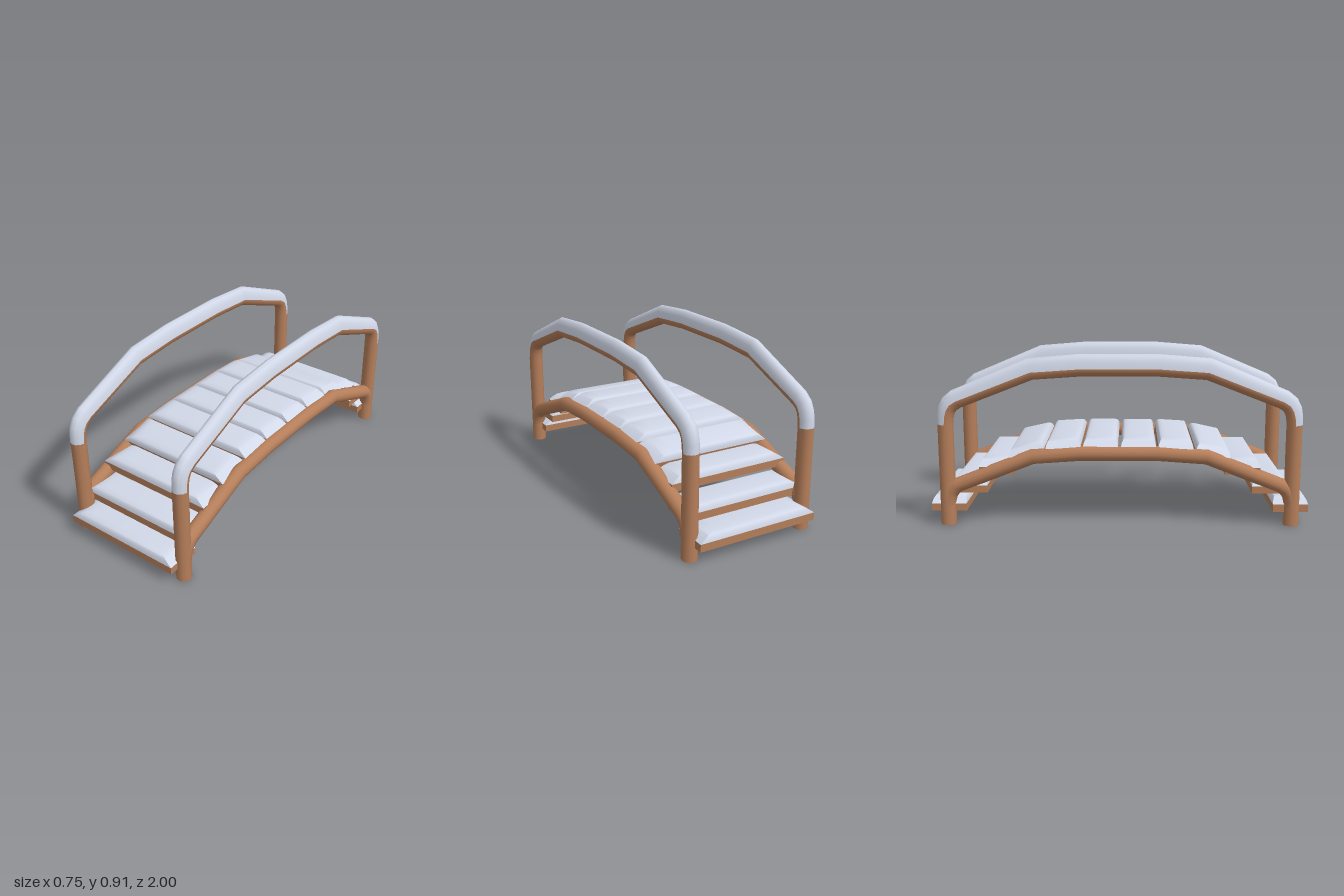
import * as THREE from 'three';
import { toCreasedNormals } from 'three/addons/utils/BufferGeometryUtils.js';

const SIDES = 12, RX = 0.04, RAIL_X = 0.333;
const PLANK = { w: 0.672, h: 0.04, d: 0.185, x: -0.009 };

// Half of the arch as [z, y, snow thickness], running from the post up to mid-span.
const ARCH = [
  [0.912, 0.54, 0.0435], [0.909, 0.58, 0.046], [0.9, 0.615, 0.05], [0.883, 0.643, 0.054],
  [0.85, 0.665, 0.06], [0.46, 0.817, 0.072], [0.2, 0.835, 0.075],
];

const mirrored = (half) => [...half, ...half.map(([z, y, s]) => [-z, y, s]).reverse()];

// Sweeps a round section along a path in the z-y plane; half = upper shell only.
function sweep(path, outer, inner, half) {
  const pos = [], idx = [];
  const cols = half ? SIDES / 2 + 1 : SIDES;
  const dir = (a, b) => new THREE.Vector2(b[0] - a[0], b[1] - a[1]).normalize();
  path.forEach((p, i) => {
    const before = dir(path[Math.max(i - 1, 0)], path[Math.max(i, 1)]);
    const after = i < path.length - 1 ? dir(p, path[i + 1]) : before;
    const t = before.clone().add(after).normalize();
    const mitre = 1 / t.dot(after);
    for (let j = 0; j < cols; j++) {
      const a = (j / SIDES) * Math.PI * 2, s = Math.sin(a);
      const off = s * mitre * (s > 0 ? outer(p) : inner);
      pos.push(RX * Math.cos(a), p[1] - t.x * off, p[0] + t.y * off);
    }
  });
  for (let i = 0; i < path.length - 1; i++) {
    for (let j = 0; j < (half ? cols - 1 : cols); j++) {
      const k = (j + 1) % cols, a = i * cols + j, b = i * cols + k;
      idx.push(a, a + cols, b, b, a + cols, b + cols);
    }
  }
  const g = new THREE.BufferGeometry();
  g.setAttribute('position', new THREE.Float32BufferAttribute(pos, 3));
  g.setIndex(idx);
  g.computeVertexNormals();
  return g;
}

// Rounded snow blanket: stacked rectangles [height, inset x, inset z], closed on top.
function snowCap() {
  const rings = [[0, 0, 0], [0.018, 0.025, 0.004], [0.032, 0.05, 0.012], [0.04, 0.077, 0.024], [0.043, 0.11, 0.042]];
  const pos = [], idx = [];
  for (const [y, ix, iz] of rings) {
    const x = PLANK.w / 2 - ix, z = PLANK.d / 2 - iz;
    pos.push(-x, y, z, x, y, z, x, y, -z, -x, y, -z);
  }
  for (let i = 0; i < rings.length - 1; i++) {
    for (let j = 0; j < 4; j++) {
      const a = i * 4 + j, b = i * 4 + (j + 1) % 4;
      idx.push(a, b, b + 4, a, b + 4, a + 4);
    }
  }
  const n = (rings.length - 1) * 4;
  idx.push(n, n + 1, n + 2, n, n + 2, n + 3);
  const g = new THREE.BufferGeometry();
  g.setAttribute('position', new THREE.Float32BufferAttribute(pos, 3));
  g.setIndex(idx);
  return toCreasedNormals(g, 0.65);
}

export function createModel() {
  const wood = new THREE.MeshStandardMaterial({ color: 0xb57e5a });
  wood.name = 'wood';
  const snow = new THREE.MeshStandardMaterial({ color: 0xd8dfef });
  snow.name = 'snow';

  const model = new THREE.Group();
  model.name = 'snowyFootbridge';
  const add = (parent, name, geometry, material) => {
    const mesh = new THREE.Mesh(geometry, material);
    mesh.name = name;
    parent.add(mesh);
    return mesh;
  };

  // Railings: posts bending into a handrail, its snow, and the beam below
  const railGeo = sweep(mirrored([[0.912, 0], ...ARCH]), () => 0.042, 0.042, false);
  const railSnowGeo = sweep(mirrored(ARCH), (p) => p[2], 0, true);
  const lower = ARCH.map(([z, y]) => [z, y - 0.45]);
  const beamGeo = sweep(mirrored(lower), () => 0.04, 0.04, false);
  const footGeo = new THREE.CircleGeometry(RX, SIDES).rotateX(Math.PI / 2);
  for (const side of [1, -1]) {
    const railing = new THREE.Group();
    railing.name = side > 0 ? 'leftRailing' : 'rightRailing';
    railing.position.x = side * RAIL_X;
    add(railing, 'handrailAndPosts', railGeo, wood);
    add(railing, 'handrailSnow', railSnowGeo, snow);
    add(railing, 'deckBeam', beamGeo, wood);
    for (const end of [1, -1]) {
      const foot = add(railing, 'postFoot', footGeo, wood);
      foot.position.z = end * 0.912;
      foot.scale.z = 1.05;
    }
    model.add(railing);
  }

  // Planks: [z, height of wood top, tilt], repeated on both halves
  const plankGeo = new THREE.BoxGeometry(PLANK.w, PLANK.h, PLANK.d).translate(0, -PLANK.h / 2, 0);
  const capGeo = snowCap();
  const planks = [
    [0.907, 0.112, 0], [0.793, 0.212, 0], [0.648, 0.312, 0],
    [0.492, 0.382, 0.22], [0.297, 0.415, 0.06], [0.1, 0.42, 0],
  ];
  for (const end of [1, -1]) {
    for (const [z, y, tilt] of planks) {
      const step = new THREE.Group();
      step.name = 'plank';
      step.position.set(PLANK.x, y, end * z);
      step.rotation.x = end * tilt;
      add(step, 'plankWood', plankGeo, wood);
      add(step, 'plankSnow', capGeo, snow);
      model.add(step);
    }
  }
  return model;
}
